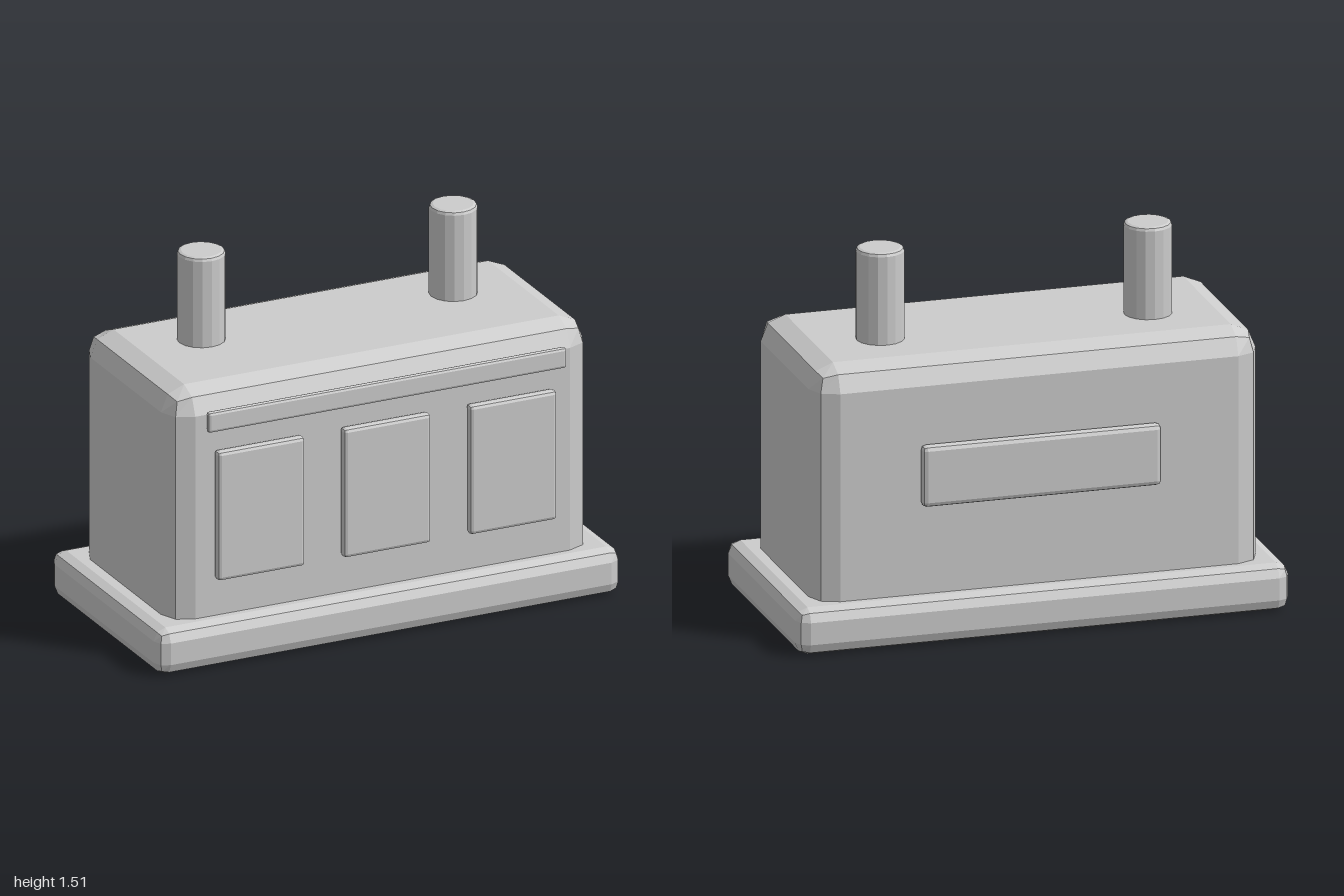
import * as THREE from 'three';
import { RoundedBoxGeometry } from 'three/addons/geometries/RoundedBoxGeometry.js';

export function createModel() {
  const model = new THREE.Group();
  model.name = 'machineBlock';
  const grey = new THREE.MeshStandardMaterial({ color: 0xcccccc });
  grey.name = 'plain grey';

  function add(name, geometry, x, y, z) {
    geometry.computeVertexNormals(); // non-indexed, so every facet is flat
    const mesh = new THREE.Mesh(geometry, grey);
    mesh.name = name;
    mesh.position.set(x, y, z);
    model.add(mesh);
  }

  // Box with two-step bevels, given by its lower and upper limits
  function bevelBox(name, [x0, x1], [y0, y1], [z0, z1], bevel) {
    const g = new RoundedBoxGeometry(x1 - x0, y1 - y0, z1 - z0, 1, bevel);
    add(name, g, (x0 + x1) / 2, (y0 + y1) / 2, (z0 + z1) / 2);
  }

  // Plinth and main housing
  bevelBox('base', [-1, 1], [0, 0.19], [-0.49, 0.49], 0.05);
  bevelBox('body', [-0.907, 0.907], [0.04, 1.136], [-0.413, 0.413], 0.1);

  // Three front panels under a long trim strip
  for (const x of [-0.543, 0, 0.543]) {
    bevelBox('frontPanel', [x - 0.188, x + 0.188], [0.348, 0.888], [0.417, 0.461], 0.015);
  }
  bevelBox('frontTrim', [-0.773, 0.773], [0.975, 1.061], [0.433, 0.461], 0.012);

  // Plate on the back
  bevelBox('backPlate', [-0.485, 0.485], [0.553, 0.803], [-0.46, -0.409], 0.02);

  // Two chimneys with a small bevel at the rim
  const r = 0.095, top = 1.51, b = 0.015;
  const profile = [
    [0, 1.08], [r, 1.08], [r, top - b], [r - 0.29 * b, top - 0.29 * b], [r - b, top], [0, top],
  ].map(([x, y]) => new THREE.Vector2(x, y));
  for (const side of [-1, 1]) {
    add('chimney', new THREE.LatheGeometry(profile, 16).toNonIndexed(), side * 0.543, 0, -0.078);
  }
  return model;
}
